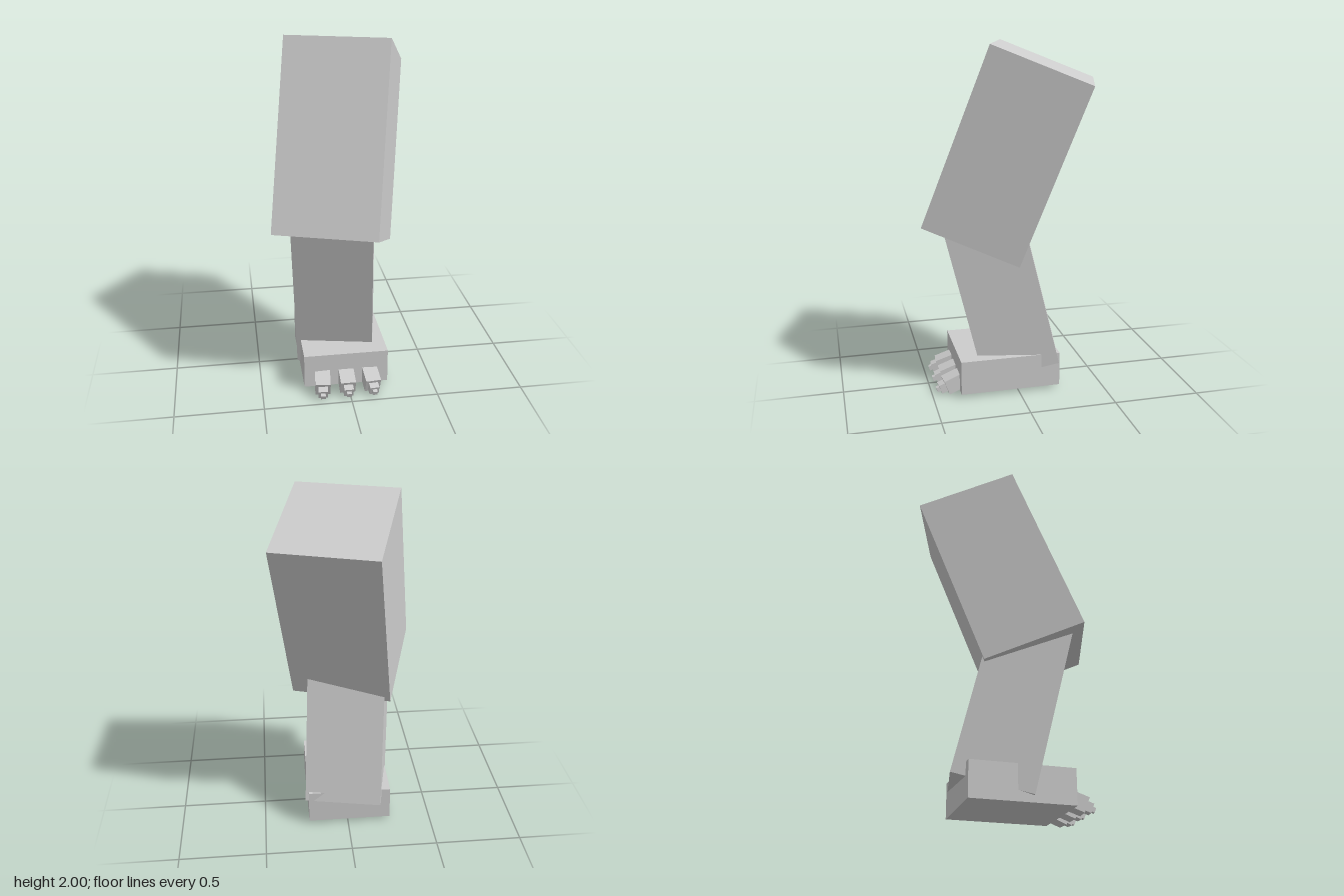
import * as THREE from 'three';

const grey = new THREE.MeshStandardMaterial({ color: 0xcccccc });
grey.name = 'grey';
const rad = THREE.MathUtils.degToRad;

// Box with its centre, size, and yaw / pitch in degrees
function block(name, size, position, yaw = 0, pitch = 0) {
  const mesh = new THREE.Mesh(new THREE.BoxGeometry(...size), grey);
  mesh.name = name;
  mesh.position.set(...position);
  mesh.rotation.set(rad(pitch), rad(yaw), 0, 'YXZ');
  return mesh;
}

// Toe of three shrinking segments pointing forward and down
function toe(name, x, yaw) {
  const group = new THREE.Group();
  group.name = name;
  group.position.set(x, 0.043, 0.419);
  group.rotation.set(rad(20), rad(yaw), 0, 'YXZ');
  group.add(
    block('toeBase', [0.088, 0.088, 0.13], [0, 0, -0.065]),
    block('toeMiddle', [0.054, 0.054, 0.05], [0, 0, 0.012]),
    block('toeTip', [0.027, 0.027, 0.03], [0, 0, 0.041])
  );
  return group;
}

export function createModel() {
  const leg = new THREE.Group();
  leg.name = 'leg';

  // Thigh leans back, shin leans forward
  leg.add(block('thigh', [0.584, 1.073, 0.589], [0, 1.3925, 0], -18.2, -21.3));
  const shin = block('shin', [0.45, 1, 0.45], [-0.0085, 0.112, -0.0655], -11.4, 13.8);
  shin.translateY(0.5);
  leg.add(shin);

  // Foot with three slightly fanned toes
  leg.add(block('foot', [0.49, 0.2, 0.585], [-0.01, 0.12, 0.0475]));
  leg.add(toe('rightToe', -0.157, -5), toe('middleToe', -0.011, 0), toe('leftToe', 0.135, 5));
  return leg;
}
